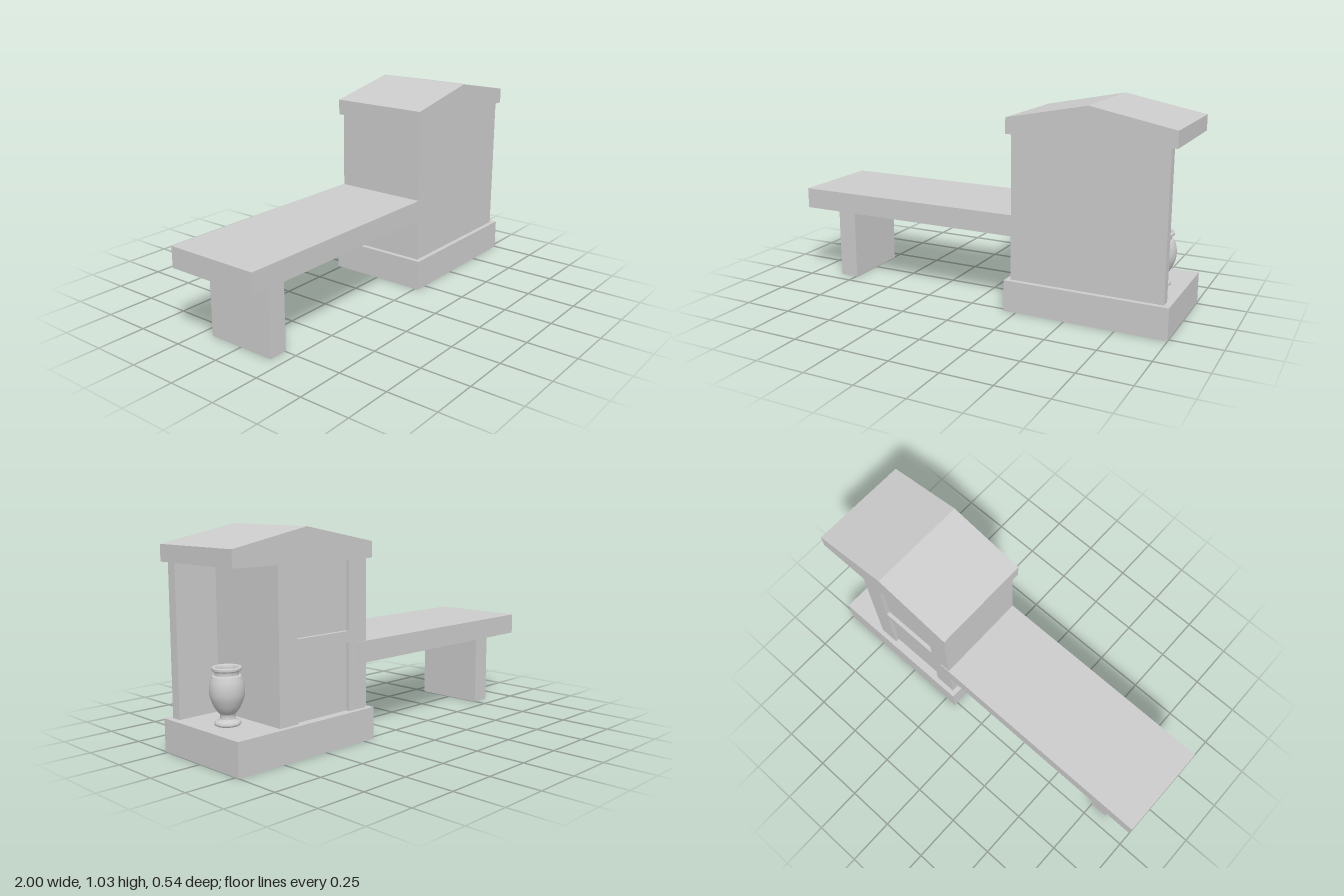
import * as THREE from 'three';
import { toCreasedNormals } from 'three/addons/utils/BufferGeometryUtils.js';

export function createModel() {
  const model = new THREE.Group();
  const stone = new THREE.MeshStandardMaterial({ color: 0xcccccc });

  const add = (name, geometry, material = stone) => {
    const mesh = new THREE.Mesh(geometry, material);
    mesh.name = name;
    model.add(mesh);
    return mesh;
  };

  // Box given by its lower and upper limits on each axis
  const block = (name, [x0, x1], [y0, y1], [z0, z1]) =>
    add(name, new THREE.BoxGeometry(x1 - x0, y1 - y0, z1 - z0))
      .position.set((x0 + x1) / 2, (y0 + y1) / 2, (z0 + z1) / 2);

  const baseTop = 0.157, eave = 0.872;
  const wallY = [baseTop, eave];

  // Plinth and front slab
  block('base', [0.185, 1], [0, baseTop], [-0.27, 0.27]);
  block('frontSlab', [0.21, 0.97], wallY, [0.194, 0.245]);

  // Niche block; stiles and a rail frame two recessed panels on the back
  block('nicheCore', [0.21, 0.75], wallY, [-0.225, 0.194]);
  block('innerStile', [0.21, 0.325], wallY, [-0.245, -0.225]);
  block('outerStile', [0.645, 0.75], wallY, [-0.245, -0.225]);
  block('middleRail', [0.325, 0.645], [0.485, 0.54], [-0.245, -0.225]);

  // Gabled roof
  const gable = new THREE.Shape([
    [0.185, eave], [1, eave], [1, 0.95], [0.5925, 1.03], [0.185, 0.95],
  ].map(([x, y]) => new THREE.Vector2(x, y)));
  const roof = new THREE.ExtrudeGeometry(gable, { depth: 0.514, bevelEnabled: false });
  add('roof', roof).position.z = -0.257;

  // Bench, its end let into the niche block
  block('benchSeat', [-1, 0.265], [0.375, 0.48], [-0.249, 0.246]);
  block('benchLeg', [-0.845, -0.745], [0, 0.375], [-0.185, 0.185]);

  // Hollow vase: rounded foot, stem, swelling body, neck and rolled lip
  const sections = [
    [[0, 0], [0.052, 0]],
    [[0.052, 0], [0.058, 0.004], [0.059, 0.011], [0.056, 0.018], [0.048, 0.021]],
    [[0.048, 0.021], [0.037, 0.027], [0.033, 0.036], [0.034, 0.048]],
    [[0.034, 0.051], [0.056, 0.079], [0.075, 0.125], [0.079, 0.162], [0.075, 0.195], [0.065, 0.223]],
    [[0.065, 0.223], [0.055, 0.226]],
    [[0.055, 0.226], [0.053, 0.235], [0.056, 0.245]],
    [[0.056, 0.245], [0.065, 0.247], [0.067, 0.255], [0.065, 0.262], [0.058, 0.264]],
    [[0.058, 0.264], [0.049, 0.26], [0.045, 0.245], [0.046, 0.225], [0.06, 0.16], [0.04, 0.07], [0, 0.055]],
  ];
  const profile = sections.flatMap((s) => {
    const pts = s.map(([r, y]) => new THREE.Vector2(r, y));
    return pts.length > 2 ? new THREE.SplineCurve(pts).getPoints(pts.length * 3) : pts;
  }).filter((p, i, all) => i === 0 || p.distanceTo(all[i - 1]) > 1e-5);
  const vase = toCreasedNormals(new THREE.LatheGeometry(profile, 40), Math.PI / 5);
  const vaseStone = stone.clone();
  vaseStone.side = THREE.DoubleSide;
  add('vase', vase, vaseStone).position.set(0.865, baseTop, -0.025);

  return model;
}
